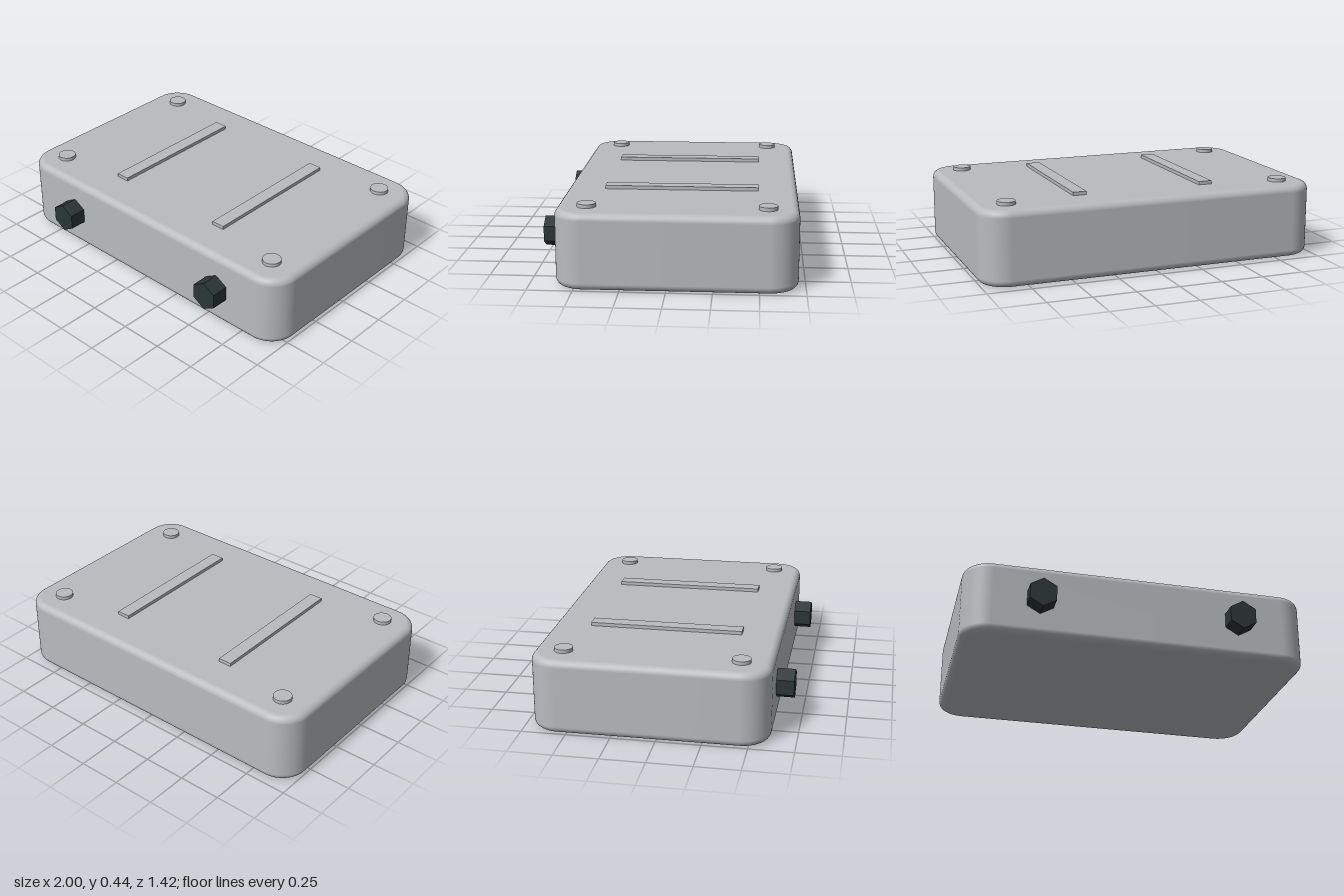
import * as THREE from 'three';

const HALF_X = 1, HALF_Z = 0.66, HEIGHT = 0.425, CENTRE_Z = -0.05;
const CORNER = 0.16, EDGE = 0.04; // plan corner radius, rounded edge radius
const TOP = 0.445;

// Rounded slab with rounded rims and smooth normals, standing on y = 0
function roundedSlab() {
  const x = HALF_X - EDGE, z = HALF_Z - EDGE, r = CORNER - EDGE;
  const s = new THREE.Shape();
  s.moveTo(x, -z + r);
  s.lineTo(x, z - r);
  s.absarc(x - r, z - r, r, 0, Math.PI / 2);
  s.lineTo(-x + r, z);
  s.absarc(-x + r, z - r, r, Math.PI / 2, Math.PI);
  s.lineTo(-x, -z + r);
  s.absarc(-x + r, -z + r, r, Math.PI, Math.PI * 1.5);
  s.lineTo(x - r, -z);
  s.absarc(x - r, -z + r, r, Math.PI * 1.5, Math.PI * 2);
  const geo = new THREE.ExtrudeGeometry(s, {
    depth: HEIGHT - 2 * EDGE, bevelEnabled: true, bevelSize: EDGE,
    bevelThickness: EDGE, bevelSegments: 6, curveSegments: 12,
  });
  geo.rotateX(-Math.PI / 2).translate(0, EDGE, 0);

  // Normals point away from the slab's inner core
  const pos = geo.attributes.position, normal = geo.attributes.normal;
  const clamp = THREE.MathUtils.clamp;
  const n = new THREE.Vector3();
  for (let i = 0; i < pos.count; i++) {
    const px = pos.getX(i), py = pos.getY(i), pz = pos.getZ(i);
    const dx = px - clamp(px, CORNER - HALF_X, HALF_X - CORNER);
    const dz = pz - clamp(pz, CORNER - HALF_Z, HALF_Z - CORNER);
    const len = Math.hypot(dx, dz) || 1;
    const out = Math.max(0, len - (CORNER - EDGE)) / len;
    n.set(dx * out, py - clamp(py, EDGE, HEIGHT - EDGE), dz * out).normalize();
    normal.setXYZ(i, n.x, n.y, n.z);
  }
  return geo;
}

export function createModel() {
  const model = new THREE.Group();
  model.name = 'enclosure';
  const casing = new THREE.MeshStandardMaterial({ name: 'light grey casing', color: 0xb8bcbf });
  const dark = new THREE.MeshStandardMaterial({ name: 'dark gland', color: 0x2b3535 });

  const add = (name, geo, material, x, y, z) => {
    const mesh = new THREE.Mesh(geo, material);
    mesh.name = name;
    mesh.position.set(x, y, z);
    model.add(mesh);
  };

  add('body', roundedSlab(), casing, 0, 0, CENTRE_Z);

  const raise = 0.04; // raised parts sink slightly into the lid
  const screw = new THREE.CylinderGeometry(0.052, 0.052, raise, 32);
  const rib = new THREE.BoxGeometry(0.08, raise, 0.875);

  // Six-sided glands with a corner pointing up
  const gland = new THREE.CylinderGeometry(0.086, 0.086, 0.12, 6).rotateX(Math.PI / 2).toNonIndexed();
  gland.computeVertexNormals();

  for (const [side, label] of [[1, 'left'], [-1, 'right']]) {
    add(`${label}FrontScrew`, screw, casing, side * 0.825, TOP - raise / 2, 0.44);
    add(`${label}BackScrew`, screw, casing, side * 0.825, TOP - raise / 2, -0.54);
    add(`${label}Rib`, rib, casing, side * 0.385, TOP - raise / 2, CENTRE_Z);
    add(`${label}Gland`, gland, dark, side * 0.575, 0.215, 0.65);
  }
  return model;
}
